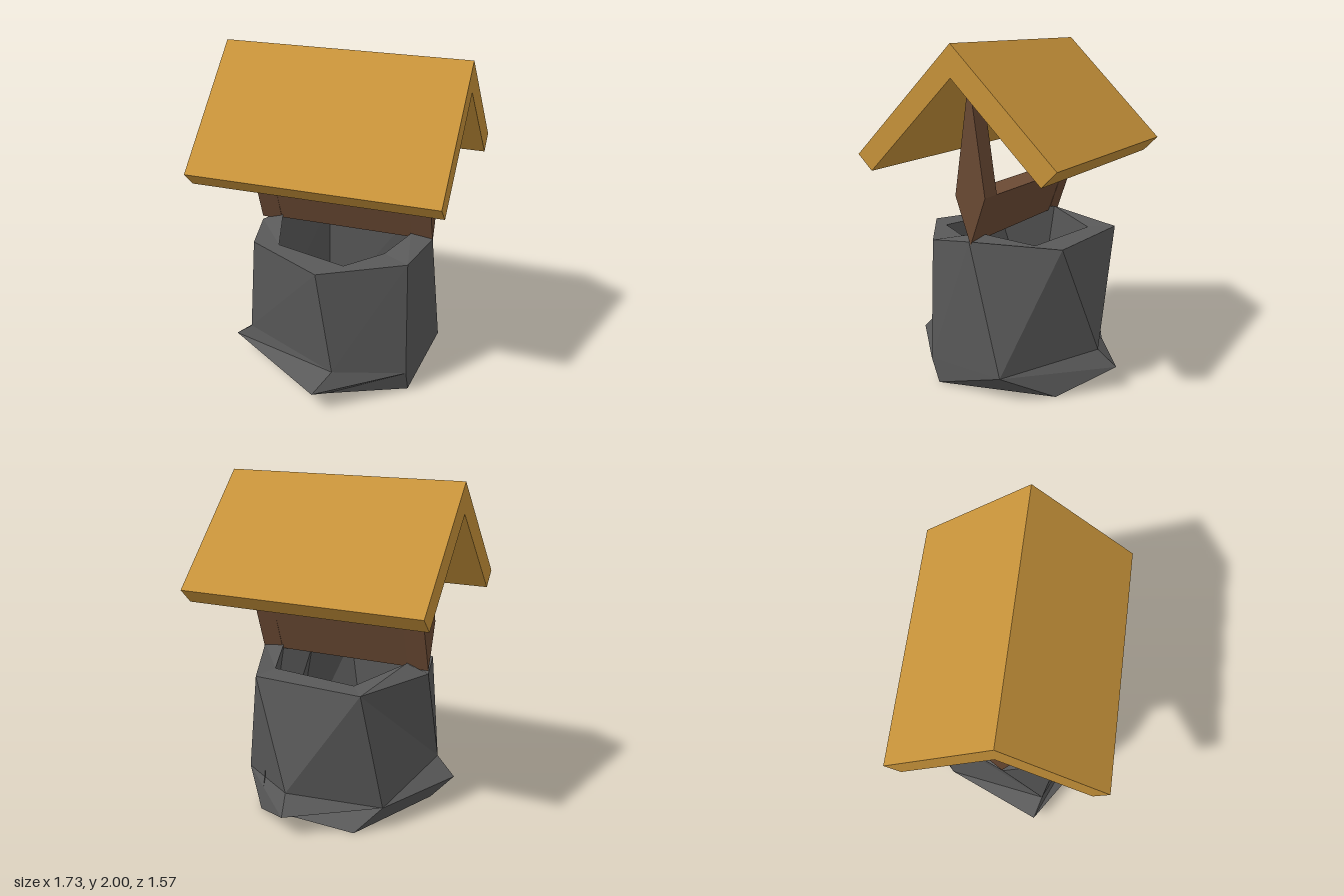
import * as THREE from 'three';

const flat = (name, color) => {
  const m = new THREE.MeshStandardMaterial({ color, flatShading: true });
  m.name = name;
  return m;
};

// Profile in (z, y), extruded along x from x0 to x1
function prism(name, profile, x0, x1, material) {
  const shape = new THREE.Shape(profile.map(([z, y]) => new THREE.Vector2(z, y)));
  const geo = new THREE.ExtrudeGeometry(shape, { depth: x1 - x0, bevelEnabled: false });
  geo.rotateY(Math.PI / 2).translate(x0, 0, 0);
  const mesh = new THREE.Mesh(geo, material);
  mesh.name = name;
  return mesh;
}

// Rings of equal length joined in a closed loop (a tube wall with thickness).
// flips lists "ring,column" quads that use the other diagonal.
function loopedRings(rings, flips) {
  const pos = [];
  const n = rings[0].length;
  const tri = (p, q, r) => {
    if (p !== q && q !== r && r !== p) pos.push(...p, ...q, ...r);
  };
  rings.forEach((upper, k) => {
    const lower = rings[(k + 1) % rings.length];
    for (let i = 0; i < n; i++) {
      const j = (i + 1) % n;
      const a = upper[i], b = upper[j], c = lower[j], d = lower[i];
      if (flips.includes(`${k},${i}`)) { tri(a, b, d); tri(b, c, d); }
      else { tri(a, b, c); tri(a, c, d); }
    }
  });
  const geo = new THREE.BufferGeometry();
  geo.setAttribute('position', new THREE.Float32BufferAttribute(pos, 3));
  geo.computeVertexNormals();
  return geo;
}

export function createModel() {
  const group = new THREE.Group();
  const stone = flat('stone', 0x595959);
  const wood = flat('wood', 0x6b4a34);
  const thatch = flat('roof yellow', 0xc8933a);

  // Rough stone shaft: inner rim, outer rim, wall foot, plinth edge, base
  const inner = [[0.4, 0.93, 0.13], [0.25, 0.87, 0.28], [0.02, 0.87, 0.45], [-0.38, 0.87, 0.21],
    [-0.4, 0.93, -0.15], [-0.13, 0.87, -0.41], [0.38, 0.87, -0.19]];
  const outer = [[0.53, 0.91, 0.155], [0.385, 0.87, 0.415], [-0.13, 0.87, 0.565], [-0.535, 0.87, 0.185],
    [-0.53, 0.87, -0.14], [-0.19, 0.87, -0.57], [0.455, 0.875, -0.36]];
  const right = [0.6, 0.14, -0.035], front = [0.395, 0.145, 0.435], back = [-0.31, 0.14, -0.46];
  const footLeft = [-0.59, 0.235, 0.11], edgeLeft = [-0.7, 0.13, 0.04];
  const foot = [right, front, [-0.04, 0.23, 0.575], footLeft, footLeft, back, [0.25, 0.23, -0.54]];
  const edge = [right, front, [-0.15, 0.13, 0.665], edgeLeft, edgeLeft, back, [0.25, 0.13, -0.65]];
  const baseLeft = [-0.56, 0, 0], baseBack = [0.455, 0, -0.33];
  const base = [baseBack, [0.41, 0, 0.385], [-0.08, 0, 0.47], baseLeft, baseLeft, [-0.15, 0, -0.53], baseBack];
  const shaft = new THREE.Mesh(loopedRings([inner, outer, foot, edge, base], ['1,4']), stone);
  shaft.name = 'stoneShaft';
  group.add(shaft);

  // Timber frame and roof, turned slightly against the shaft
  const top = new THREE.Group();
  top.name = 'roofFrame';
  top.rotation.y = -0.267;
  const post = [[0, 0.89], [0.095, 1.165], [0, 1.815], [-0.095, 1.165]];
  top.add(prism('leftPost', post, 0.42, 0.55, wood));
  top.add(prism('rightPost', post, -0.55, -0.42, wood));
  top.add(prism('crossBeam', [[0, 0.9], [0.095, 1.165], [-0.095, 1.165]], -0.42, 0.42, wood));

  // Gabled roof with two slabs at 45 degrees
  const gable = [[0, 2], [-0.616, 1.383], [-0.528, 1.295], [0, 1.823], [0.528, 1.295], [0.616, 1.383]];
  top.add(prism('roof', gable, -0.73, 0.73, thatch));
  group.add(top);
  return group;
}
